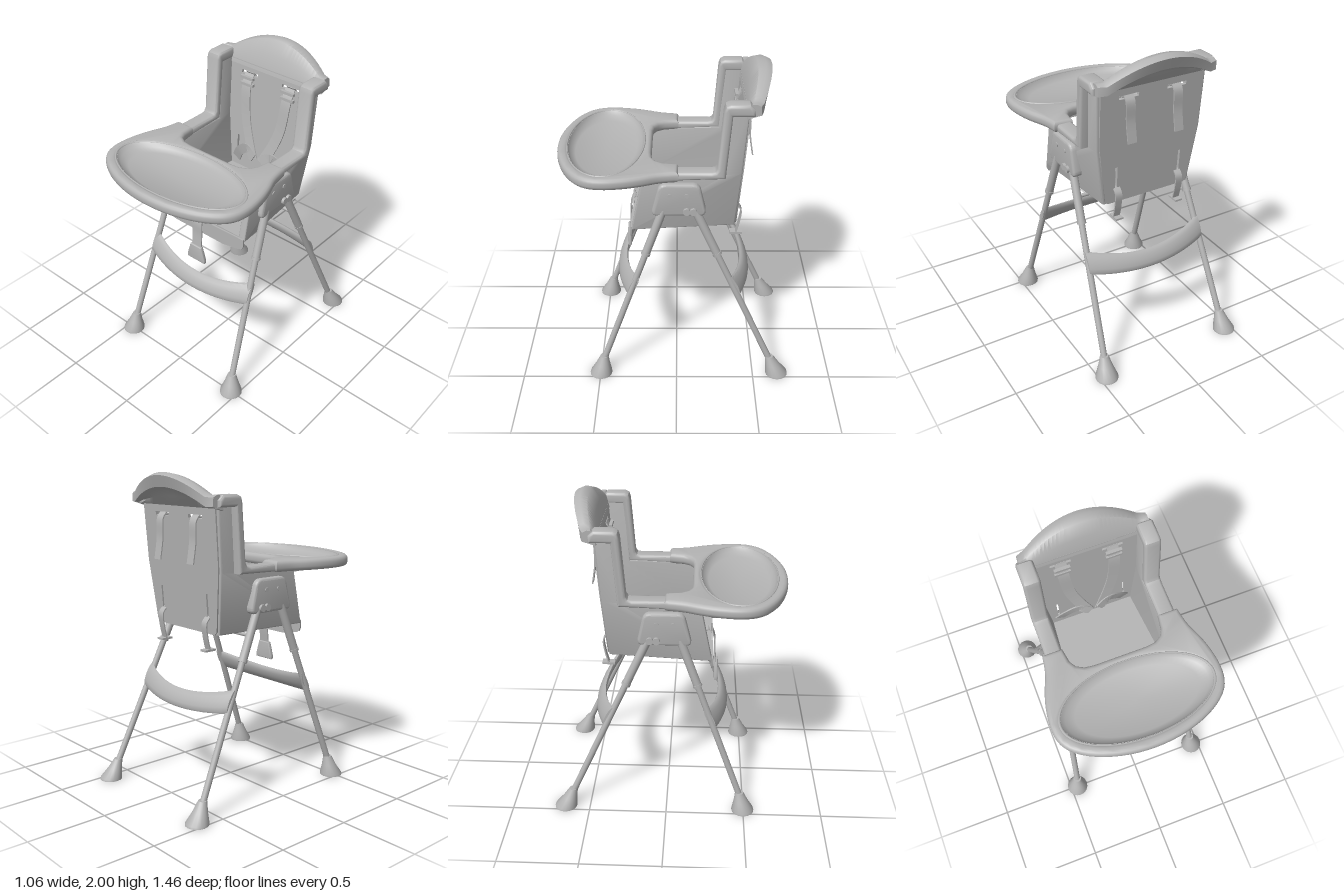
import * as THREE from 'three';
import { toCreasedNormals } from 'three/addons/utils/BufferGeometryUtils.js';

const V = (x, y, z) => new THREE.Vector3(x, y, z);

// closed solid through rings of equal point count, turned outward by its signed volume
function loft(rings, crease = 0.6) {
  const n = rings[0].length, pts = rings.flat(), idx = [];
  for (let i = 0; i < rings.length - 1; i++)
    for (let j = 0; j < n; j++) {
      const a = i * n + j, b = i * n + (j + 1) % n;
      idx.push(a, b, b + n, a, b + n, a + n);
    }
  const last = (rings.length - 1) * n;
  for (let j = 1; j < n - 1; j++) idx.push(0, j + 1, j, last, last + j, last + j + 1);
  let vol = 0;
  for (let i = 0; i < idx.length; i += 3)
    vol += pts[idx[i]].dot(pts[idx[i + 1]].clone().cross(pts[idx[i + 2]]));
  if (vol < 0) idx.reverse();
  const g = new THREE.BufferGeometry().setFromPoints(pts);
  g.setIndex(idx);
  return toCreasedNormals(g, crease);
}

function shapeOf(points) {
  return new THREE.Shape(points.map(([x, y]) => new THREE.Vector2(x, y)));
}

function extrude(shape, depth, bevel = 0, curveSegments = 24) {
  const g = new THREE.ExtrudeGeometry(shape, {
    depth: depth - 2 * bevel, bevelEnabled: bevel > 0, bevelSize: bevel, bevelThickness: bevel,
    bevelOffset: -bevel, bevelSegments: 3, curveSegments });
  g.translate(0, 0, bevel);
  return toCreasedNormals(g, 0.7);
}

// side profile of (z, y) points, extruded across x from x0 to x1
function sideExtrude(shape, x0, x1, bevel) {
  return extrude(shape, x1 - x0, bevel).rotateY(-Math.PI / 2).translate(x1, 0, 0);
}

function rod(a, b, r) {
  const d = b.clone().sub(a);
  const g = new THREE.CylinderGeometry(r, r, d.length(), 16);
  g.applyQuaternion(new THREE.Quaternion().setFromUnitVectors(V(0, 1, 0), d.clone().normalize()));
  const m = a.clone().add(b).multiplyScalar(0.5);
  return g.translate(m.x, m.y, m.z);
}

// flat webbing along a smooth path
function ribbon(points, width, thick = 0.008) {
  const curve = new THREE.CatmullRomCurve3(points.map(p => V(...p)));
  const rings = [];
  for (let i = 0; i <= 16; i++) {
    const p = curve.getPoint(i / 16), t = curve.getTangent(i / 16);
    const side = V(t.y, -t.x, 0).normalize(), n = side.clone().cross(t).normalize();
    rings.push([[1, 1], [-1, 1], [-1, -1], [1, -1]].map(([a, b]) =>
      p.clone().addScaledVector(side, a * width / 2).addScaledVector(n, b * thick / 2)));
  }
  return loft(rings);
}

function rectHole(cx, cy, w, h) {
  return new THREE.Path([[-1, -1], [1, -1], [1, 1], [-1, 1]].map(([a, b]) => new THREE.Vector2(cx + a * w / 2, cy + b * h / 2)));
}

// narrows the shell toward its lower back corner
function taper(geo) {
  const p = geo.attributes.position;
  for (let i = 0; i < p.count; i++) {
    const back = THREE.MathUtils.clamp((0.2 - p.getZ(i)) / 0.56, 0, 1);
    const low = THREE.MathUtils.clamp((1.5 - p.getY(i)) / 0.45, 0, 1);
    p.setX(i, p.getX(i) * (1 - 0.17 * back * low));
  }
  geo.computeVertexNormals();
  return toCreasedNormals(geo, 0.7);
}

export function createModel() {
  const model = new THREE.Group();
  const grey = new THREE.MeshStandardMaterial({ color: 0xb4b4b4 });
  grey.name = 'grey plastic';
  const add = (name, geo) => {
    const m = new THREE.Mesh(geo, grey);
    m.name = name;
    model.add(m);
  };

  // backrest panel with belt slots
  const back = shapeOf([[-0.27, 0], [0.27, 0], [0.29, 0.02], [0.34, 0.4], [0.345, 0.77], [-0.345, 0.77], [-0.34, 0.4], [-0.29, 0.02]]);
  for (const s of [-1, 1]) {
    back.holes.push(rectHole(s * 0.16, 0.7, 0.13, 0.022), rectHole(s * 0.22, 0.16, 0.014, 0.17));
  }
  add('backrest', extrude(back, 0.02).rotateX(-0.075).translate(0, 1.05, -0.364));

  // seat pan and front apron
  add('seatPan', extrude(shapeOf([[-0.34, 0.27], [-0.285, -0.35], [0.285, -0.35], [0.34, 0.27]]), 0.025)
    .rotateX(Math.PI / 2).translate(0, 1.075, 0));
  add('seatApron', extrude(shapeOf([[-0.36, 1.07], [-0.36, 1.02], [-0.35, 0.998], [-0.32, 0.985], [-0.2, 0.962], [0.2, 0.962],
    [0.32, 0.985], [0.35, 0.998], [0.36, 1.02], [0.36, 1.07], [0.11, 1.065], [0.08, 1.09], [-0.08, 1.09], [-0.11, 1.065]]), 0.01)
    .translate(0, 0, 0.27));

  // headrest lip, arching up and flaring backward at the middle
  const lip = [];
  for (let i = 0; i <= 32; i++) {
    const u = i / 16 - 1, x = 0.39 * u, q = 1 - u * u, k = Math.max(0, 1 - (x / 0.34) ** 2);
    lip.push([[-0.396, 1.79], [-0.405 - 0.02 * q, 1.855 + 0.06 * k], [-0.42 - 0.055 * q, 1.878 + 0.113 * k],
      [-0.445 - 0.075 * q, 1.88 + 0.12 * k], [-0.47 - 0.088 * q, 1.868 + 0.115 * k], [-0.475 - 0.06 * q, 1.815 + 0.1 * k],
      [-0.455 - 0.045 * q, 1.81 + 0.09 * k], [-0.425 - 0.02 * q, 1.82 + 0.04 * k], [-0.42, 1.8]].map(([z, y]) => V(x, y, z)));
  }
  add('headrestLip', loft(lip, 0.8));

  const wall = shapeOf([[0.275, 1.05], [0.2, 1.42], [-0.27, 1.43], [-0.295, 1.83], [-0.412, 1.83], [-0.384, 1.43], [-0.355, 1.05]]);
  const wing = shapeOf([[0.02, 1.41], [0, 1.46], [-0.2, 1.46], [-0.225, 1.465], [-0.238, 1.485], [-0.265, 1.84], [-0.275, 1.868], [-0.3, 1.88],
    [-0.41, 1.88], [-0.44, 1.85], [-0.44, 1.81], [-0.315, 1.81], [-0.285, 1.42]]);
  const hub = new THREE.Shape();
  hub.moveTo(0.12, 1.165);
  hub.lineTo(-0.14, 1.165);
  hub.quadraticCurveTo(-0.18, 1.165, -0.172, 1.21);
  hub.lineTo(-0.145, 1.33);
  hub.quadraticCurveTo(-0.135, 1.375, -0.09, 1.375);
  hub.lineTo(0.06, 1.375);
  hub.quadraticCurveTo(0.105, 1.375, 0.115, 1.33);
  hub.lineTo(0.145, 1.21);
  hub.quadraticCurveTo(0.155, 1.165, 0.12, 1.165);

  for (const s of [-1, 1]) {
    const side = s > 0 ? 'left' : 'right';
    const across = (shape, a, b, bevel) => sideExtrude(shape, s > 0 ? a : -b, s > 0 ? b : -a, bevel);

    // shell side, rolled rim and leg hub
    add(side + 'SideWall', taper(across(wall, 0.315, 0.365, 0.01)));
    add(side + 'Rim', across(wing, 0.31, 0.412, 0.018));
    add(side + 'Hub', across(hub, 0.33, 0.395, 0.015));
    for (const z of [0.04, -0.06]) add(side + 'HubRivet', rod(V(s * 0.39, 1.305, z), V(s * 0.4, 1.305, z), 0.014));
    for (const z of [-0.06, -0.1]) add(side + 'HubButton', rod(V(s * 0.385, 1.2, z), V(s * 0.412, 1.2, z), 0.022));

    // legs: thick upper tube, collar, thin lower tube, hollow flared foot
    for (const [end, z0, z1, zf] of [['Front', 0.08, 0.472, 0.497], ['Back', -0.11, -0.605, -0.658]]) {
      const top = V(s * 0.37, 1.2, z0), foot = V(s * 0.441, 0.11, z1);
      const at = t => top.clone().lerp(foot, t);
      add(side + end + 'UpperLeg', rod(top, at(0.28), 0.026));
      add(side + end + 'LegCollar', rod(at(0.27), at(0.285), 0.029));
      add(side + end + 'LowerLeg', rod(at(0.27), foot, 0.02));
      const rings = [[0.08, 0.03, 0.4], [0.005, 0.064, 1], [0, 0.072, 1], [0.012, 0.071, 0.95], [0.07, 0.046, 0.45], [0.13, 0.027, 0]]
        .map(([y, r, f]) => Array.from({ length: 16 }, (_, i) => {
          const a = i / 8 * Math.PI;
          return V(s * (0.441 + 0.012 * f) + r * Math.cos(a), y, z1 + (zf - z1) * f + r * Math.sin(a));
        }));
      add(side + end + 'Foot', loft(rings));
    }

    // shoulder belt with slider, lap belt and loose ends behind
    add(side + 'ShoulderBelt', ribbon([[s * 0.16, 1.75, -0.4], [s * 0.16, 1.68, -0.365], [s * 0.14, 1.48, -0.34],
      [s * 0.1, 1.35, -0.32], [s * 0.035, 1.21, -0.29]], 0.07));
    for (const y of [1.685, 1.73]) add(side + 'BeltSlider', new THREE.BoxGeometry(0.1, 0.018, 0.02).translate(s * 0.16, y, -0.37));
    add(side + 'LapBelt', ribbon([[s * 0.22, 1.13, -0.345], [s * 0.18, 1.2, -0.325], [s * 0.1, 1.26, -0.305], [s * 0.03, 1.22, -0.285]], 0.065));
    add(side + 'ShoulderBeltTail', ribbon([[s * 0.16, 1.76, -0.4], [s * 0.16, 1.72, -0.43], [s * 0.16, 1.6, -0.435], [s * 0.16, 1.47, -0.455]], 0.06));
    add(side + 'LapBeltTail', ribbon([[s * 0.215, 1.16, -0.36], [s * 0.215, 1.12, -0.395], [s * 0.215, 1.04, -0.39], [s * 0.215, 0.955, -0.37]], 0.045));
    add(side + 'BeltClasp', new THREE.BoxGeometry(0.05, 0.012, 0.08).translate(s * 0.215, 0.952, -0.37));
  }
  add('underSeatBar', rod(V(-0.37, 1.04, -0.18), V(0.37, 1.04, -0.18), 0.012));

  // front and rear curved crossbars
  for (const dir of [1, -1]) {
    const rings = [];
    for (let i = 0; i <= 20; i++) {
      const u = i / 10 - 1, q = 1 - u * u, h = 0.075 - 0.017 * q;
      rings.push(Array.from({ length: 12 }, (_, j) => {
        const a = j / 6 * Math.PI, c = h * Math.cos(a), t = 0.02 * Math.sin(a);
        const z = 0.27 + 0.085 * q - 0.45 * c + 0.9 * t;
        return V(0.418 * u, 0.672 - 0.046 * q + 0.9 * c + 0.45 * t, dir > 0 ? z : -z - 0.09);
      }));
    }
    add(dir > 0 ? 'frontFootrest' : 'rearCrossbar', loft(rings));
  }

  // tray frame with an oval opening, dish and raised bead
  const half = [[0.43, -0.01], [0.45, 0.1], [0.488, 0.2], [0.516, 0.3], [0.53, 0.42], [0.512, 0.52], [0.45, 0.6], [0.33, 0.67], [0.17, 0.718]];
  const inner = [[0.16, 0.152], [0.22, 0.145], [0.265, 0.12], [0.29, 0.08], [0.305, -0.01]];
  const flip = list => list.map(([x, z]) => [-x, z]).reverse();
  const outer = new THREE.SplineCurve([...half, [0, 0.734], ...flip(half)].map(p => new THREE.Vector2(...p)));
  const tray = shapeOf([...outer.getPoints(60).map(p => [p.x, p.y]), ...flip(inner), ...inner]);
  tray.holes.push(new THREE.Path().absellipse(0, 0.435, 0.46, 0.23, 0, Math.PI * 2));
  add('trayFrame', extrude(tray, 0.07, 0.025, 48).rotateX(Math.PI / 2).translate(0, 1.477, 0));
  const dish = [[0, 1.41], [0.42, 1.412], [0.488, 1.43], [0.488, 1.47], [0.465, 1.473], [0.44, 1.45], [0.38, 1.435], [0, 1.43]]
    .map(([x, y]) => new THREE.Vector2(x, y));
  add('trayDish', toCreasedNormals(new THREE.LatheGeometry(dish, 64), 0.6).scale(1, 1, 0.5).translate(0, 0, 0.435));
  add('trayBead', new THREE.TorusGeometry(0.474, 0.01, 8, 64).rotateX(Math.PI / 2).scale(1, 1, 0.505).translate(0, 1.47, 0.435));

  // tray bracket and centre post
  add('trayBracket', new THREE.BoxGeometry(0.47, 0.05, 0.15).translate(0, 1.385, 0.305));
  const post = [[1.18, 0.032, 0.03], [1.195, 0.04, 0.036], [1.315, 0.046, 0.042], [1.33, 0.078, 0.046], [1.37, 0.082, 0.05]].map(([y, w, d]) =>
    Array.from({ length: 20 }, (_, i) => {
      const a = i / 10 * Math.PI, c = Math.cos(a), n = Math.sin(a);
      return V(w * Math.sign(c) * Math.sqrt(Math.abs(c)), y, 0.295 + d * Math.sign(n) * Math.sqrt(Math.abs(n)));
    }));
  add('trayPost', loft(post));

  // crotch strap with hanging buckle
  add('crotchStrap', ribbon([[0, 1.085, 0.2], [0, 1.095, 0.265], [0, 1.04, 0.292], [0, 0.95, 0.295], [0, 0.85, 0.305]], 0.075));
  add('buckle', extrude(shapeOf([[-0.07, 0.75], [0.07, 0.75], [0.072, 0.775], [0.045, 0.865], [-0.045, 0.865], [-0.072, 0.775]]), 0.024, 0.006)
    .translate(0, 0, 0.294));

  return model;
}
